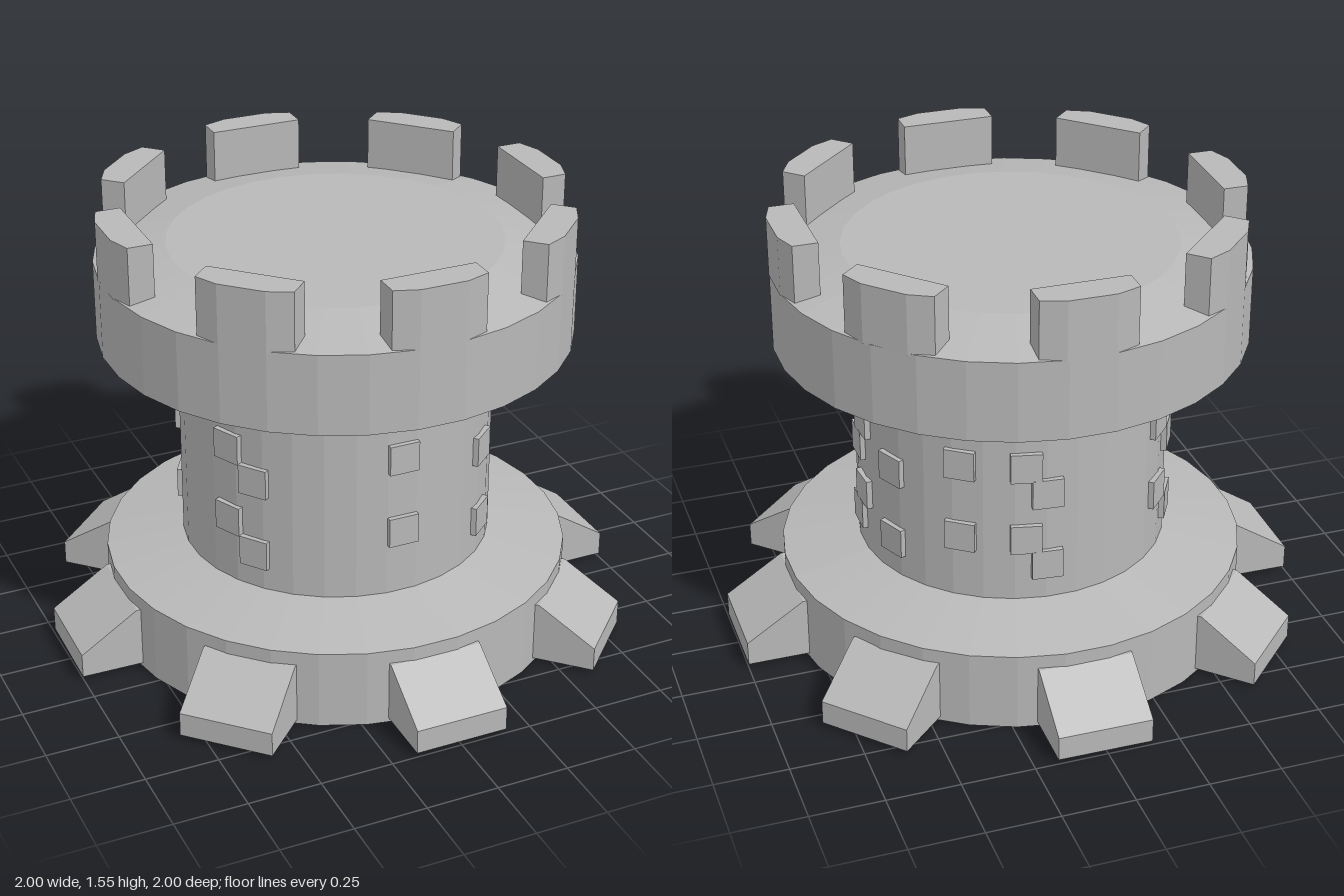
import * as THREE from 'three';

export function createModel() {
  const tower = new THREE.Group();
  tower.name = 'tower';
  const stone = new THREE.MeshStandardMaterial({ color: 0xb8b8b8, flatShading: true });
  stone.name = 'stone';
  const SIDES = 32;

  // Adds a part turned about the vertical axis (degrees from the front, towards +x)
  const add = (name, geometry, degrees = 0) => {
    const mesh = new THREE.Mesh(geometry, stone);
    mesh.name = name;
    mesh.rotation.y = THREE.MathUtils.degToRad(degrees);
    tower.add(mesh);
    return mesh;
  };

  // Solid of revolution with a flat facet facing the front
  const turned = (points) => new THREE.LatheGeometry(
    points.map(([r, y]) => new THREE.Vector2(r, y)), SIDES, Math.PI / SIDES);

  // Extrudes an outline and centres its depth on zero
  const slab = (points, depth) => new THREE.ExtrudeGeometry(
    new THREE.Shape(points.map(([x, y]) => new THREE.Vector2(x, y))),
    { depth, bevelEnabled: false });

  // Base, shaft and crown
  add('base', turned([[0, 0], [0.806, 0], [0.806, 0.278], [0.537, 0.328]]));
  add('shaft', turned([[0.537, 0.32], [0.537, 1.08]]));
  add('crown', turned([[0.537, 1.08], [0.806, 1.08], [0.806, 1.355], [0.565, 1.402], [0, 1.402]]));

  // Sloped buttress: side outline in (radius, height), turned to point forwards
  const buttress = slab([[0.74, 0.015], [1, 0.015], [1, 0.1], [0.8, 0.23], [0.74, 0.23]], 0.324);
  buttress.translate(0, 0, -0.162).rotateY(-Math.PI / 2);

  // Battlement: plan outline with a faceted outer face, raised upright
  const merlon = slab([[-0.162, -0.69], [-0.162, -0.775], [-0.08, -0.803],
    [0.08, -0.803], [0.162, -0.775], [0.162, -0.69]], 0.205);
  merlon.rotateX(-Math.PI / 2).translate(0, 1.35, 0);

  for (const angle of [0, 45, 90, 133, 179.5, 225, 269, 315]) {
    add('buttress', buttress, angle);
    add('battlement', merlon, angle);
  }

  // Raised bricks in two repeated bands of staggered rows
  const brick = new THREE.BoxGeometry(0.105, 0.105, 0.05).translate(0, 0, 0.527);
  const upper = [0, 94.6, 143.7, 167, 228, 295];
  const lower = [41, 90, 114.6, 174.5, 240, 306];
  for (const drop of [0, 0.27]) {
    for (const angle of upper) add('brick', brick, angle).position.y = 0.834 - drop;
    for (const angle of lower) add('brick', brick, angle).position.y = 0.733 - drop;
  }
  return tower;
}
